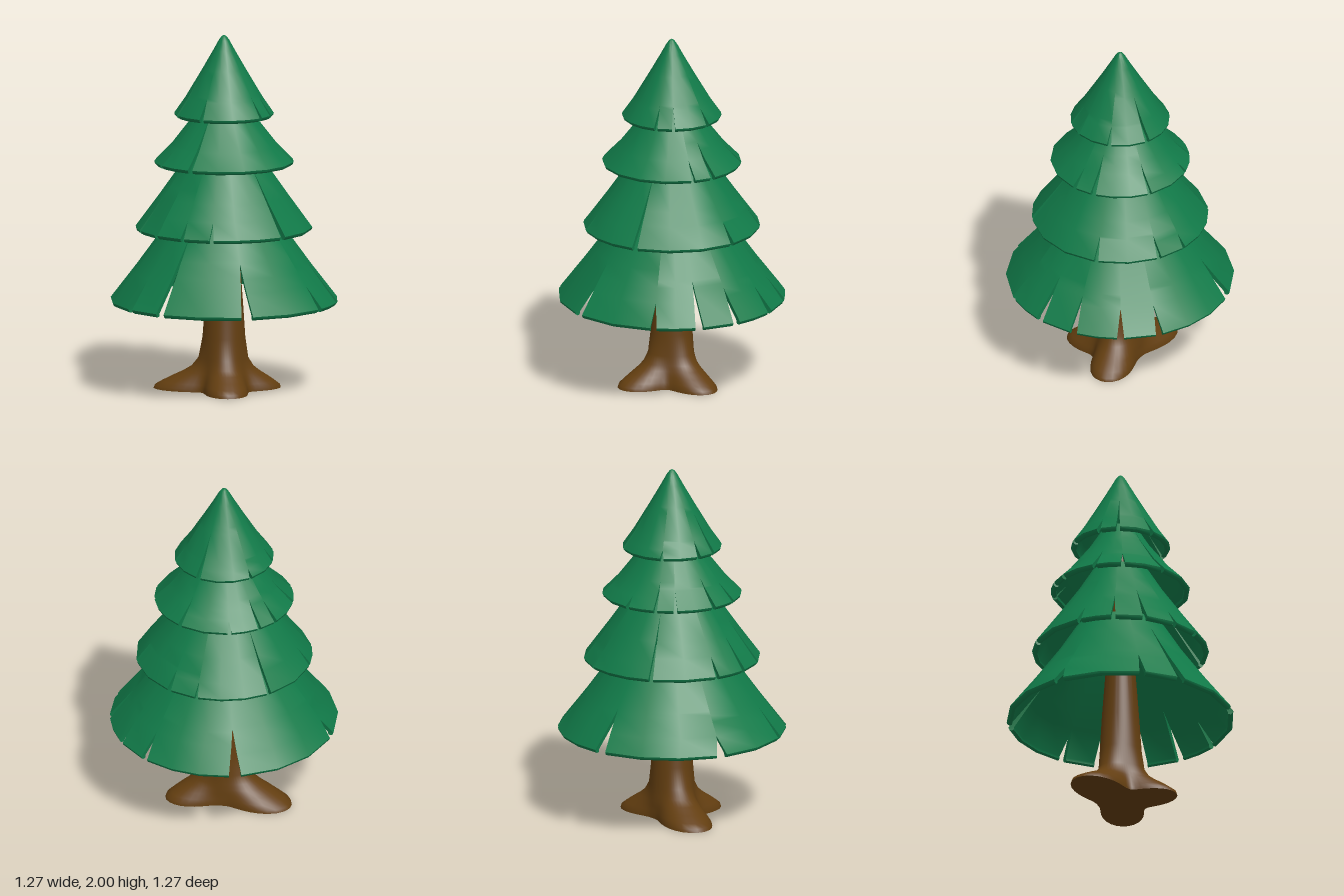
import * as THREE from 'three';
import { toCreasedNormals } from 'three/addons/utils/BufferGeometryUtils.js';

const green = new THREE.MeshStandardMaterial({ color: 0x117b49 });
green.name = 'pine green';
const brown = new THREE.MeshStandardMaterial({ color: 0x633e10 });
brown.name = 'bark brown';
const RAD = Math.PI / 180;

const polar = (r, y, a) => [r * Math.cos(a), y, r * Math.sin(a)];

// Joins neighbouring columns of points (each running down the outside) with quads.
function skin(cols, out) {
  for (let i = 0; i + 1 < cols.length; i++) {
    const p = cols[i], q = cols[i + 1];
    for (let k = 0; k + 1 < p.length; k++) {
      out.push(...p[k], ...q[k], ...p[k + 1], ...q[k], ...q[k + 1], ...p[k + 1]);
    }
  }
}

function toMesh(name, positions, material, crease) {
  const geometry = new THREE.BufferGeometry();
  geometry.setAttribute('position', new THREE.Float32BufferAttribute(positions, 3));
  const mesh = new THREE.Mesh(toCreasedNormals(geometry, crease), material);
  mesh.name = name;
  return mesh;
}

// Linear lookup in a list of [radius, y] points that runs downwards.
function radiusAt(profile, y) {
  for (let i = 0; i + 1 < profile.length; i++) {
    const [r0, y0] = profile[i], [r1, y1] = profile[i + 1];
    if (y <= y0 && y >= y1) return r0 + (r1 - r0) * (y0 - y) / (y0 - y1);
  }
  return profile[profile.length - 1][0];
}

// One tier: thick panels separated by V-shaped slits [degrees, half width, tip height].
function tier({ name, profile, slits }) {
  const [R, hemY] = profile[profile.length - 1];
  const sorted = [...slits].sort((a, b) => a[0] - b[0]);
  const out = [];
  const opening = ([, w, tip], y) => (w / R) * Math.max(0, (tip - y) / (tip - hemY));
  sorted.forEach((s, n) => {
    const e = sorted[(n + 1) % sorted.length];
    const a0 = s[0] * RAD;
    const a1 = (e[0] + (n + 1 === sorted.length ? 360 : 0)) * RAD;
    const ys = [...new Set([...profile.map(p => p[1]), s[2], e[2]])].sort((a, b) => b - a);
    const outer = ys.map(y => [radiusAt(profile, y), y]);
    const inner = outer.map(([r, y]) => [Math.max(0, r - 0.032), y]);
    // rounded lower lip
    outer.push([R - 0.004, hemY - 0.012], [R - 0.014, hemY - 0.02]);
    inner.push([R - 0.03, hemY - 0.015], [R - 0.026, hemY - 0.018]);
    const section = [...outer, ...inner.reverse()];
    const steps = Math.max(1, Math.ceil((a1 - a0) / (23 * RAD)));
    const cols = [];
    for (let i = 0; i <= steps; i++) {
      cols.push(section.map(([r, y]) => {
        const from = a0 + opening(s, Math.max(y, hemY));
        const to = a1 - opening(e, Math.max(y, hemY));
        return polar(r, y, from + (to - from) * i / steps);
      }));
    }
    skin(cols, out);
    // side walls of the panel
    const L = section.length, first = cols[0], last = cols[steps];
    for (let k = 0; k + 1 < L / 2; k++) {
      const m = L - 1 - k;
      out.push(...first[k], ...first[k + 1], ...first[m], ...first[m], ...first[k + 1], ...first[m - 1]);
      out.push(...last[k], ...last[m], ...last[k + 1], ...last[m], ...last[m - 1], ...last[k + 1]);
    }
  });
  return toMesh(name, out, green, 0.6);
}

// Tapered trunk flaring into three roots, closed underneath.
function trunk() {
  const roots = [[160, 0.265], [53, 0.195], [-52, 0.195]];
  // [radius, height, share of the root flare]
  const rows = [
    [0, 1.6, 0], [0.035, 1.6, 0], [0.075, 0.9, 0], [0.105, 0.5, 0], [0.115, 0.3, 0.02],
    [0.12, 0.18, 0.09], [0.124, 0.13, 0.23], [0.128, 0.1, 0.4], [0.13, 0.07, 0.63],
    [0.132, 0.04, 0.84], [0.135, 0.018, 0.97], [0.135, 0, 1], [0, 0, 0],
  ];
  const cols = [];
  const count = 60;
  for (let i = 0; i <= count; i++) {
    const a = (i % count) / count * Math.PI * 2;
    let reach = 0;
    for (const [deg, amount] of roots) {
      reach += amount * Math.pow(Math.max(0, Math.cos(a - deg * RAD)), 5);
    }
    cols.push(rows.map(([r, y, f]) => polar(r + reach * f, y, a)));
  }
  const out = [];
  skin(cols, out);
  return toMesh('trunk', out, brown, 0.9);
}

const tiers = [
  {
    name: 'topTier',
    profile: [[0, 2], [0.014, 1.992], [0.03, 1.97], [0.06, 1.915], [0.12, 1.81], [0.215, 1.65], [0.277, 1.56]],
    slits: [[85, 0.012, 1.67], [127, 0.012, 1.78], [150, 0.012, 1.64], [-165, 0.01, 1.6],
      [-101, 0.015, 1.78], [-55, 0.012, 1.64], [-11, 0.01, 1.67], [10, 0.01, 1.67]],
  },
  {
    name: 'upperTier',
    profile: [[0.1, 1.66], [0.175, 1.54], [0.3, 1.38], [0.388, 1.29]],
    slits: [[87, 0.014, 1.6], [122, 0.012, 1.39], [146, 0.013, 1.43], [180, 0.011, 1.39],
      [-163, 0.011, 1.42], [-137, 0.012, 1.34], [-93, 0.012, 1.42], [-45, 0.016, 1.46], [-27, 0.012, 1.38]],
  },
  {
    name: 'middleTier',
    profile: [[0.16, 1.4], [0.24, 1.27], [0.36, 1.1], [0.492, 0.92]],
    slits: [[16, 0.016, 1.29], [66, 0.012, 1.01], [86, 0.011, 1.01], [108, 0.013, 1.16], [129, 0.013, 1.1],
      [152, 0.013, 1.02], [-163, 0.013, 1.24], [-114, 0.01, 0.99], [-94, 0.014, 1.02], [-52, 0.013, 1.03]],
  },
  {
    name: 'lowerTier',
    profile: [[0.25, 1.05], [0.345, 0.9], [0.49, 0.7], [0.635, 0.51]],
    slits: [[0.5, 0.018, 0.63], [-23, 0.024, 0.73], [-43.5, 0.022, 0.68], [-68, 0.02, 0.64], [-88, 0.022, 0.64],
      [-138, 0.035, 0.72], [157, 0.03, 0.6], [113, 0.018, 0.67], [92, 0.025, 0.96], [46, 0.033, 0.78]],
  },
];

export function createModel() {
  const model = new THREE.Group();
  model.name = 'pineTree';
  model.add(trunk(), ...tiers.map(tier));
  return model;
}
